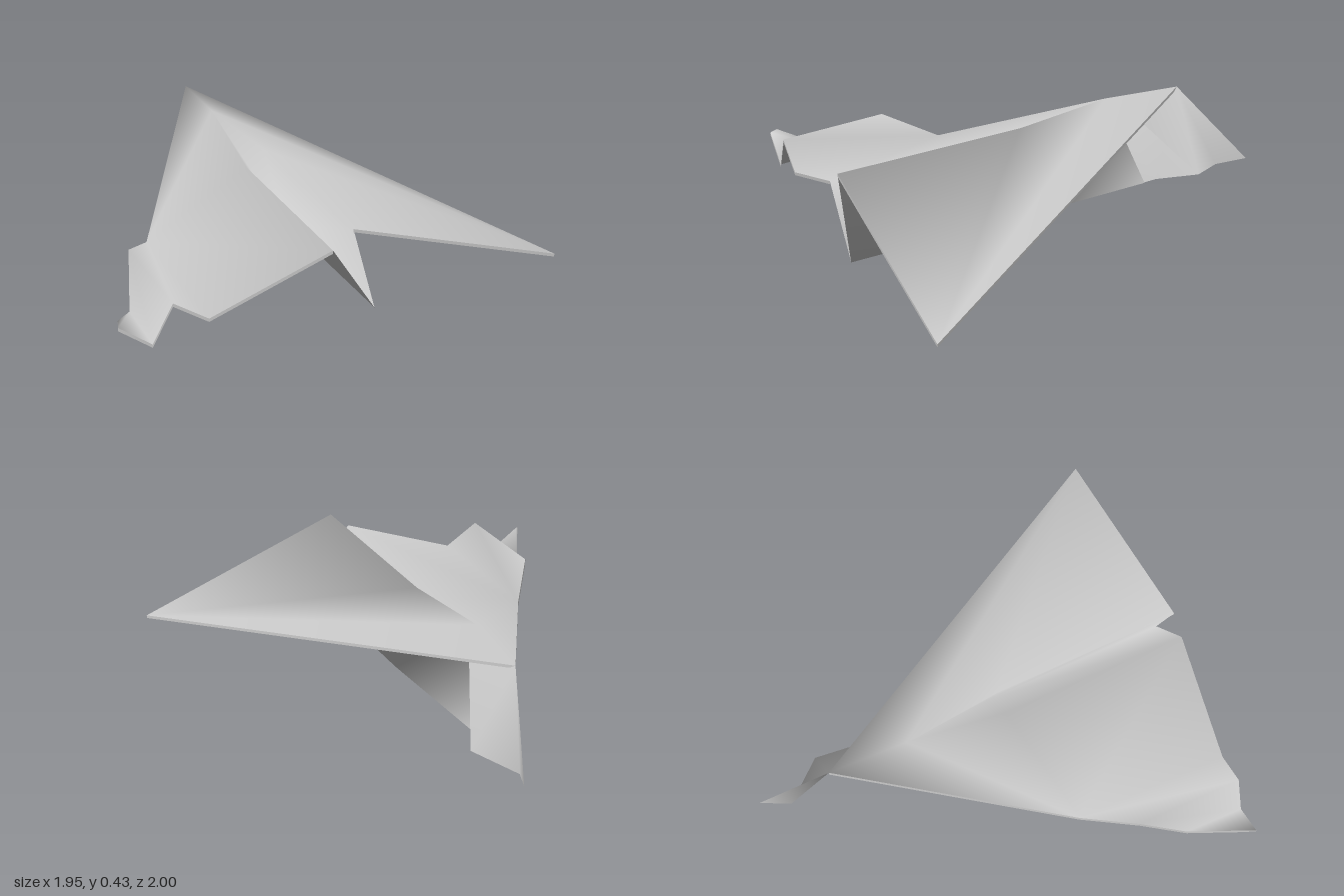
import * as THREE from 'three';

// Fold points of the crumpled paper glider [x, y, z]
const P = {
  // nose and bent-down tip
  nose: [-0.02, 0.415, -0.69], tip: [0.11, 0.03, -1], noseLow: [0.055, 0.005, -0.87],
  flapLow: [0.19, 0.06, -0.69], flapTop: [0.04, 0.39, -0.4],
  // top ridge, where both wings meet ahead of the keel pocket
  ridge: [-0.04, 0.43, -0.33],
  // straight wing
  rMid: [0.01, 0.412, 0.13], rEnd: [0.015, 0.408, 1], rTip: [0.975, 0.105, 1],
  // keel
  kFront: [0.05, 0.005, -0.55], kFrontB: [0.065, 0.01, -0.48], kMid: [0.12, 0.035, 0.13], kEnd: [0.12, 0.03, 1],
  // crumpled wing, inner fold
  wMid: [-0.07, 0.34, 0.13], wEnd: [-0.075, 0.33, 1],
  // crumpled wing, leading edge (l) and trailing edge (t)
  l3: [-0.59, 0.135, 0.25], l2: [-0.75, 0.225, 0.46], l1: [-0.83, 0.055, 0.67], l0: [-0.965, 0.155, 0.9],
  t3: [-0.6, 0.115, 0.96], t2: [-0.75, 0.21, 0.95], t1: [-0.835, 0.04, 0.94], t0: [-0.975, 0.14, 0.93],
};

// Panels as fans of points, all wound so the sheet's upper side is the front
const PANELS = {
  straightWing: ['rTip nose ridge rMid rEnd'],
  crumpledWing: ['l3 t3 wEnd wMid ridge nose', 'l3 l2 t2 t3', 'l2 l1 t1 t2', 'l1 l0 t0 t1'],
  keelInnerWall: ['kMid wMid wEnd kEnd', 'kMid kFront ridge wMid', 'nose ridge kFront'],
  keelOuterWall: ['kMid kEnd rEnd rMid', 'kMid rMid ridge kFrontB'],
  bentNose: ['nose kFront flapLow noseLow tip'],
  noseFlap: ['nose flapTop flapLow'],
};

const material = new THREE.MeshStandardMaterial({ color: 0xcccccc, side: THREE.DoubleSide });
const point = (key) => new THREE.Vector3(...P[key]);

function triangles(fans) {
  return fans.flatMap((fan) => {
    const k = fan.split(' ');
    return k.slice(2).map((last, i) => [k[0], k[i + 1], last]);
  });
}

// Soft folds: one normal per point, averaged over all panels by corner angle
function softNormals() {
  const normals = {};
  for (const key in P) normals[key] = new THREE.Vector3();
  for (const tri of Object.values(PANELS).flatMap(triangles)) {
    const [a, b, c] = tri.map(point);
    const face = new THREE.Triangle(a, b, c).getNormal(new THREE.Vector3());
    tri.forEach((key, i) => {
      const o = point(key);
      const u = point(tri[(i + 1) % 3]).sub(o), v = point(tri[(i + 2) % 3]).sub(o);
      normals[key].addScaledVector(face, u.angleTo(v));
    });
  }
  for (const key in P) normals[key].normalize();
  return normals;
}

function makeMesh(name, positions, normals) {
  const geo = new THREE.BufferGeometry();
  geo.setAttribute('position', new THREE.Float32BufferAttribute(positions, 3));
  if (normals) geo.setAttribute('normal', new THREE.Float32BufferAttribute(normals, 3));
  else geo.computeVertexNormals();
  const mesh = new THREE.Mesh(geo, material);
  mesh.name = name;
  return mesh;
}

// One panel of the sheet, optionally shifted down as a second layer
function panel(name, fans, normals, drop = 0) {
  const keys = triangles(fans).flat();
  return makeMesh(
    name,
    keys.flatMap((k) => [P[k][0], P[k][1] - drop, P[k][2]]),
    keys.flatMap((k) => normals[k].toArray()),
  );
}

// Narrow band hanging from an edge, showing the thickness of the folded paper
function edgeBand(name, keys, drop) {
  const pos = [];
  for (let i = 1; i < keys.length; i++) {
    const a = P[keys[i - 1]], b = P[keys[i]];
    const a2 = [a[0], a[1] - drop, a[2]], b2 = [b[0], b[1] - drop, b[2]];
    pos.push(...a, ...a2, ...b, ...a2, ...b2, ...b);
  }
  return makeMesh(name, pos);
}

export function createModel() {
  const group = new THREE.Group();
  group.name = 'paperGlider';
  const normals = softNormals();

  // The folded sheet
  for (const name in PANELS) group.add(panel(name, PANELS[name], normals));

  // Second layer and edges of the straight wing
  group.add(panel('straightWingUnderLayer', PANELS.straightWing, normals, 0.014));
  group.add(edgeBand('straightWingEdge', ['nose', 'rTip', 'rEnd'], 0.014));

  // Edges of the crumpled wing
  group.add(edgeBand('crumpledWingLeadingEdge', ['nose', 'l3', 'l2', 'l1', 'l0'], 0.025));
  group.add(edgeBand('crumpledWingTrailingEdge', ['l0', 't0', 't1', 't2', 't3', 'wEnd'], 0.015));

  return group;
}
